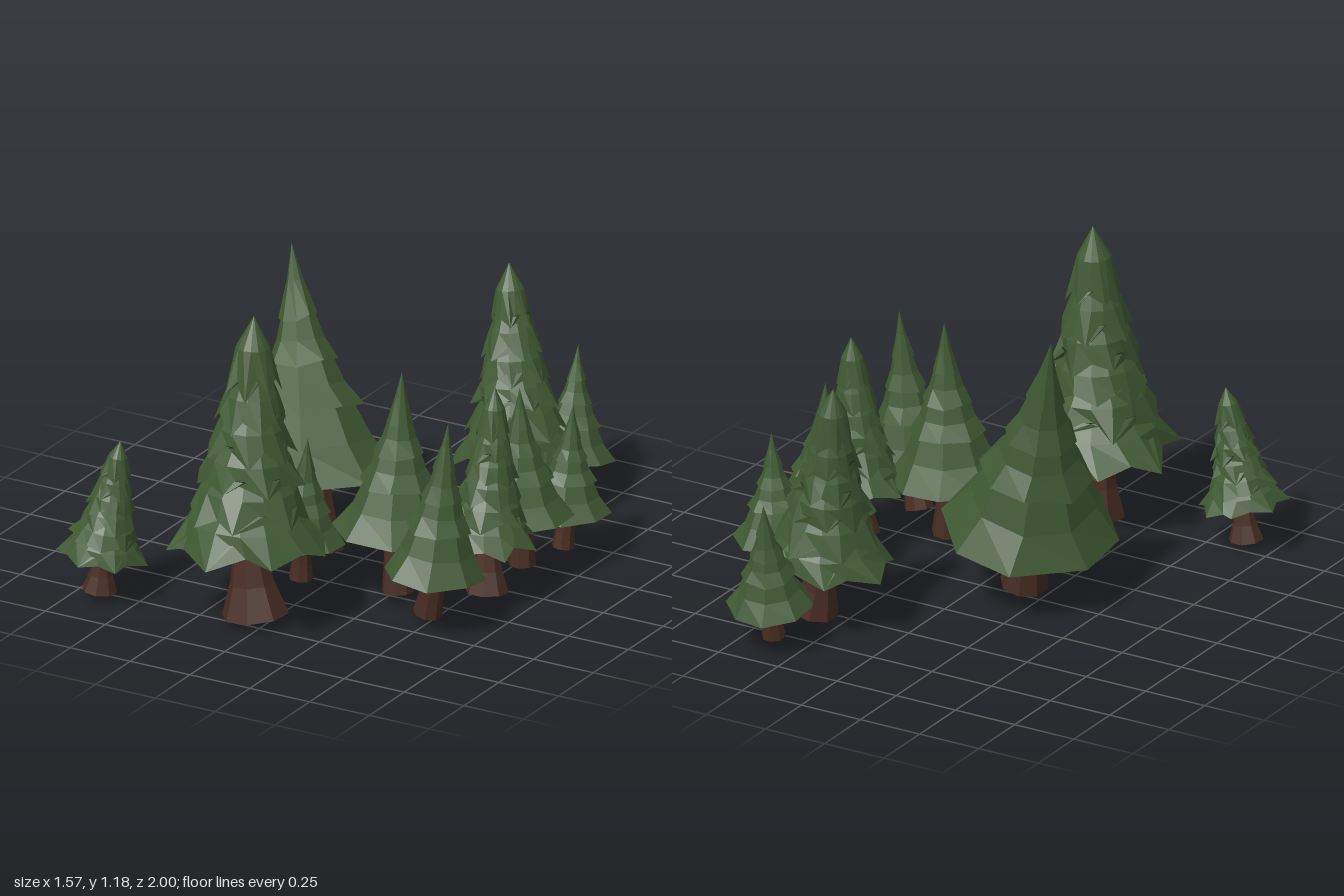
import * as THREE from 'three';

function flat(name, color) {
  const material = new THREE.MeshStandardMaterial({ color, flatShading: true, side: THREE.DoubleSide });
  material.name = name;
  return material;
}
const needles = flat('pine green', 0x405933);
const inner = flat('deep inner green', 0x10260f);
const bark = flat('bark brown', 0x482d23);

// Small seeded random generator
function seeded(seed) {
  let s = seed * 7919 + 17;
  return () => {
    s = (s * 16807) % 2147483647;
    return s / 2147483647;
  };
}

const UP = new THREE.Vector3(0, 1, 0);

// Place a y-up mesh at a point, with its axis along dir
function aim(mesh, from, dir) {
  mesh.position.copy(from);
  mesh.quaternion.setFromUnitVectors(UP, dir.clone().normalize());
  return mesh;
}

// Tapered trunk with a flared foot
function makeTrunk(foot, crownBase, radius, topRadius, crownHeight) {
  const dir = crownBase.clone().sub(foot);
  const length = dir.length() + crownHeight * 0.15;
  const profile = [
    [0, 0], [radius, 0], [radius * 0.4 + topRadius * 0.6, length * 0.28],
    [topRadius, length * 0.6], [topRadius * 0.8, length],
  ].map(([r, y]) => new THREE.Vector2(r, y));
  const mesh = new THREE.Mesh(new THREE.LatheGeometry(profile, 8, 0.3), bark);
  mesh.name = 'trunk';
  return aim(mesh, foot, dir);
}

const STYLES = {
  smooth: {
    levels: [0, 0.3, 0.5, 0.69, 1], sides: 8, waist: 0.87, tuck: 0.8, hollow: 0.5,
    taper: (t) => Math.pow(1 - t, 1.3),
  },
  shaggy: {
    levels: [0, 0.15, 0.29, 0.43, 0.57, 0.72, 1], sides: 14, waist: 0.9, tuck: 0.66, hollow: 0.75,
    taper: (t) => 0.8 * Math.pow(1 - t, 0.65) + 0.2 * Math.pow(1 - t, 6),
  },
};

// Tiered crown: overhanging rims following a tapering envelope
function makeCrown(base, tip, { crown: radius, shaggy, plain }, random) {
  const dir = tip.clone().sub(base);
  const height = dir.length();
  const { levels, sides, waist, tuck, hollow, taper } = shaggy ? STYLES.shaggy : STYLES.smooth;
  const envelope = (t) => radius * taper(t);

  const profile = [];
  const rims = [];
  const darkBands = new Set();
  const point = (r, t) => profile.push(new THREE.Vector2(r, t * height));
  point(0, 0.1);
  point(radius * hollow, 0.06);
  if (!plain) darkBands.add(0);
  for (let k = 0; k < levels.length - 1; k++) {
    const [t0, t1] = [levels[k], levels[k + 1]];
    const last = k === levels.length - 2;
    const mid = (t0 + t1) / 2;
    rims.push(profile.length);
    point(envelope(t0), t0);
    point(envelope(mid) * (last ? 1.05 : waist), mid);
    if (!last) {
      // Recess under the next rim; its inner part is in the deep green
      const out = envelope(t1);
      if (shaggy) darkBands.add(profile.length);
      point(out * tuck, t1 + 0.025);
      if (shaggy) point(out * (tuck * 0.35 + 0.65), t1 + 0.012);
    }
  }
  point(0, 1);

  const geometry = new THREE.LatheGeometry(profile, sides, Math.PI / 8);
  const position = geometry.attributes.position;
  const count = profile.length;

  // Ragged rims: alternate long drooping fronds with short ones
  rims.forEach((row, k) => {
    const shifts = Array.from({ length: sides }, (_, i) => {
      const long = (i + k) % 2;
      return shaggy
        ? [0.85 + long * 0.16 + random() * 0.18, (0.01 - long * 0.045 - random() * 0.045) * height, (random() - 0.5) * 0.3]
        : [0.97 + random() * 0.06, (random() - 0.6) * 0.03 * height, (random() - 0.5) * 0.15];
    });
    for (let i = 0; i <= sides; i++) {
      const [scale, drop, turn] = shifts[i % sides];
      const index = i * count + row;
      const x = position.getX(index) * scale;
      const z = position.getZ(index) * scale;
      const c = Math.cos(turn), s = Math.sin(turn);
      position.setXYZ(index, x * c - z * s, position.getY(index) + drop, x * s + z * c);
    }
  });
  geometry.computeVertexNormals();

  // One group per quad: green outside, deep green in the recesses
  for (let i = 0; i < sides; i++) {
    for (let j = 0; j < count - 1; j++) {
      geometry.addGroup((i * (count - 1) + j) * 6, 6, darkBands.has(j) ? 1 : 0);
    }
  }
  const mesh = new THREE.Mesh(geometry, [needles, inner]);
  mesh.name = 'crown';
  return aim(mesh, base, dir);
}

// foot, crown base, tip, crown radius, trunk foot and top radius;
// shaggy crowns have ragged tiers, plain ones have an all-green underside
const TREES = [
  { foot: [-0.645, 0.03, 0.79], base: [-0.63, 0.19, 0.79], tip: [-0.57, 0.62, 0.77], crown: 0.15, trunk: [0.065, 0.03], shaggy: true },
  { foot: [-0.04, 0.035, 0.71], base: [-0.075, 0.34, 0.71], tip: [-0.07, 1.18, 0.67], crown: 0.27, trunk: [0.125, 0.055], shaggy: true },
  { foot: [-0.15, 0.02, 0.06], base: [-0.2, 0.28, 0.02], tip: [-0.39, 1.1, -0.15], crown: 0.33, trunk: [0.09, 0.06], plain: true },
  { foot: [-0.06, 0.04, 0.35], base: [-0.05, 0.2, 0.355], tip: [-0.02, 0.6, 0.37], crown: 0.155, trunk: [0.045, 0.032] },
  { foot: [0.3, 0.035, 0.27], base: [0.285, 0.27, 0.26], tip: [0.295, 0.88, 0.235], crown: 0.23, trunk: [0.06, 0.045] },
  { foot: [0.5, 0.04, 0.4], base: [0.54, 0.215, 0.415], tip: [0.585, 0.8, 0.4], crown: 0.19, trunk: [0.055, 0.04] },
  { foot: [0.585, 0.04, 0.12], base: [0.575, 0.25, 0.1], tip: [0.585, 0.82, 0.065], crown: 0.17, trunk: [0.08, 0.038], shaggy: true },
  { foot: [0.57, 0.045, -0.155], base: [0.57, 0.235, -0.155], tip: [0.56, 0.73, -0.155], crown: 0.195, trunk: [0.052, 0.042] },
  { foot: [0.62, 0.045, -0.365], base: [0.63, 0.19, -0.38], tip: [0.65, 0.6, -0.385], crown: 0.16, trunk: [0.042, 0.032] },
  { foot: [0.365, 0.03, -0.55], base: [0.305, 0.285, -0.57], tip: [0.225, 0.97, -0.655], crown: 0.225, trunk: [0.09, 0.045], shaggy: true },
  { foot: [0.375, 0.025, -0.82], base: [0.375, 0.165, -0.845], tip: [0.36, 0.58, -0.92], crown: 0.16, trunk: [0.045, 0.034], plain: true },
];

export function createModel() {
  const grove = new THREE.Group();
  grove.name = 'pineGrove';
  TREES.forEach((tree, i) => {
    const [foot, base, tip] = [tree.foot, tree.base, tree.tip].map((p) => new THREE.Vector3(...p));
    const group = new THREE.Group();
    group.name = tree.shaggy ? 'shaggyPine' : 'smoothPine';
    group.add(
      makeTrunk(foot, base, ...tree.trunk, base.distanceTo(tip)),
      makeCrown(base, tip, tree, seeded(i + 1)),
    );
    grove.add(group);
  });
  return grove;
}
